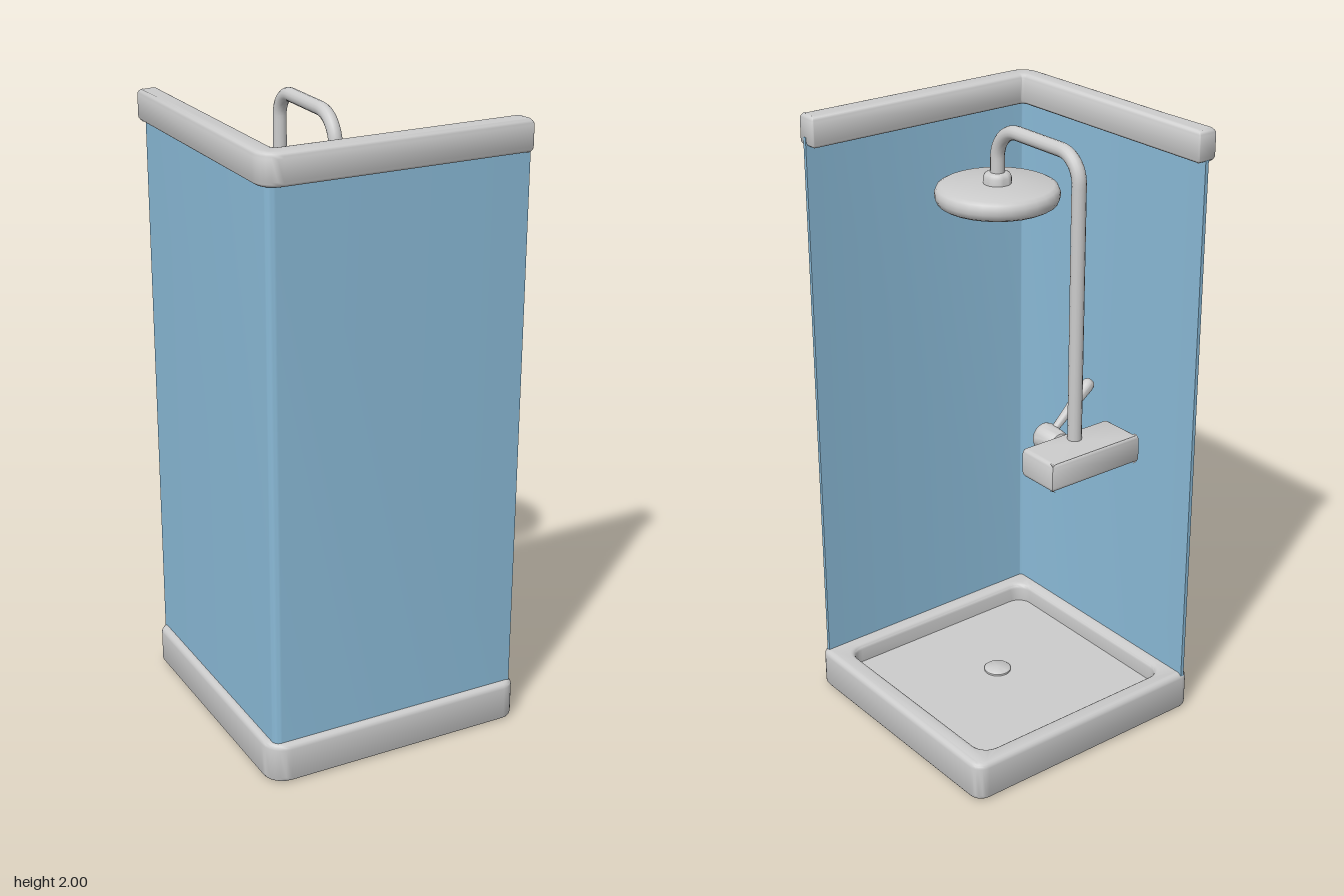
import * as THREE from 'three';
import { toCreasedNormals } from 'three/addons/utils/BufferGeometryUtils.js';

const V = (x, y, z) => new THREE.Vector3(x, y, z);

// Closed outline from [x, z, cornerRadius] points; the shape's y is -z.
function outline(points, Type = THREE.Shape) {
  const path = new Type();
  const n = points.length;
  const at = (i) => new THREE.Vector2(points[(i + n) % n][0], -points[(i + n) % n][1]);
  for (let i = 0; i < n; i++) {
    const p = at(i), r = points[i][2];
    const a = at(i - 1).sub(p).setLength(r).add(p);
    const b = at(i + 1).sub(p).setLength(r).add(p);
    if (i === 0) path.moveTo(a.x, a.y);
    else path.lineTo(a.x, a.y);
    // Bezier handles that closely follow a circular arc
    const h1 = a.clone().lerp(p, 0.55), h2 = b.clone().lerp(p, 0.55);
    if (r > 0) path.bezierCurveTo(h1.x, h1.y, h2.x, h2.y, b.x, b.y);
  }
  path.closePath();
  return path;
}

// Extrudes an outline upwards from y0 to y1 with rounded edges.
function slab(shape, y0, y1, bevel) {
  const geo = new THREE.ExtrudeGeometry(shape, {
    depth: y1 - y0 - 2 * bevel, curveSegments: 6, bevelEnabled: bevel > 0,
    bevelSize: bevel, bevelThickness: bevel, bevelOffset: -bevel, bevelSegments: 4,
  });
  geo.rotateX(-Math.PI / 2).translate(0, y0 + bevel, 0);
  return toCreasedNormals(geo, 0.7);
}

// Turned part from [radius, height] points.
const turned = (points, sides = 28) => toCreasedNormals(
  new THREE.LatheGeometry(points.map(([r, y]) => new THREE.Vector2(r, y)), sides), 0.75);

export function createModel() {
  const group = new THREE.Group();
  const enamel = new THREE.MeshStandardMaterial({ color: 0xcccccc });
  enamel.name = 'lightGrey';
  const glass = new THREE.MeshStandardMaterial({ color: 0x8abad7 });
  glass.name = 'blueGlass';

  const add = (name, geo, mat = enamel) => {
    const mesh = new THREE.Mesh(geo, mat);
    mesh.name = name;
    group.add(mesh);
    return mesh;
  };

  // Tray: raised rim, sunken floor and drain
  const e = 0.443;
  const rim = outline([[-e, e, 0.07], [e, e, 0.045], [e, -e, 0.045], [-e, -e, 0.03]]);
  rim.holes.push(outline([[-0.37, 0.362, 0.05], [-0.37, -0.38, 0.05],
    [0.375, -0.38, 0.05], [0.375, 0.362, 0.05]], THREE.Path));
  add('trayRim', slab(rim, 0, 0.135, 0.018));
  add('trayFloor', new THREE.BoxGeometry(0.81, 0.07, 0.81).translate(0, 0.035, 0));
  add('drain', turned([[0.045, 0.068], [0.045, 0.076], [0.039, 0.081], [0, 0.081]])
    .translate(-0.01, 0, 0.04));

  // Glass screen: one thin L with a rounded corner
  const go = 0.42, gi = 0.408;
  add('glassScreen', slab(outline([
    [-go, go, 0.025], [0.427, go, 0], [0.427, gi, 0],
    [-gi, gi, 0.013], [-gi, -0.441, 0], [-go, -0.441, 0],
  ]), 0.12, 1.93, 0), glass);

  // Top rail following the screen
  add('topRail', slab(outline([
    [-0.445, 0.443, 0.065], [0.425, 0.443, 0.008], [0.425, 0.37, 0.008],
    [-0.375, 0.37, 0.01], [-0.375, -0.445, 0.008], [-0.445, -0.445, 0.008],
  ]), 1.9, 2, 0.018));

  // Mixer body on the open back side
  add('mixerBody', slab(outline([
    [-0.18, -0.29, 0.018], [0.16, -0.29, 0.018],
    [0.16, -0.443, 0.002], [-0.18, -0.443, 0.002],
  ]), 0.995, 1.087, 0.016));

  // Knob, turned about z and flaring to the front
  add('mixerKnob', turned([
    [0.03, -0.02], [0.018, 0.012], [0.034, 0.018], [0.039, 0.03], [0.045, 0.085],
    [0.042, 0.098], [0.034, 0.104], [0, 0.104],
  ]).rotateX(Math.PI / 2).translate(-0.01, 1.042, -0.29));

  // Lever, thicker towards its rounded tip
  const from = V(-0.025, 1.065, -0.222), to = V(-0.175, 1.195, -0.222);
  const dir = to.clone().sub(from), len = dir.length();
  const lever = add('mixerLever', turned([
    [0, 0], [0.011, 0], [0.021, len - 0.025], [0.019, len - 0.01], [0.011, len - 0.002], [0, len],
  ], 16));
  lever.position.copy(from);
  lever.quaternion.setFromUnitVectors(V(0, 1, 0), dir.normalize());

  // Riser pipe with two bends, ending above the head
  const x = -0.01, top = 1.972;
  const pipe = new THREE.CurvePath();
  const bend = (a, corner, b) => pipe.add(new THREE.CubicBezierCurve3(
    a, a.clone().lerp(corner, 0.55), b.clone().lerp(corner, 0.55), b));
  pipe.add(new THREE.LineCurve3(V(x, 1.05, -0.34), V(x, 1.89, -0.34)));
  bend(V(x, 1.89, -0.34), V(x, top, -0.34), V(x, top, -0.26));
  pipe.add(new THREE.LineCurve3(V(x, top, -0.26), V(x, top, -0.06)));
  bend(V(x, top, -0.06), V(x, top, 0.037), V(x, 1.875, 0.037));
  pipe.add(new THREE.LineCurve3(V(x, 1.875, 0.037), V(x, 1.81, 0.037)));
  add('riserPipe', new THREE.TubeGeometry(pipe, 100, 0.022, 14));

  // Round shower head and its collar
  add('showerHead', turned([
    [0, 1.733], [0.172, 1.733], [0.184, 1.74], [0.191, 1.757], [0.191, 1.772],
    [0.185, 1.786], [0.172, 1.793], [0.04, 1.798], [0, 1.798],
  ]).translate(x, 0, 0.037));
  add('headCollar', turned([
    [0.043, 1.79], [0.043, 1.818], [0.038, 1.828], [0.03, 1.832], [0, 1.832],
  ]).translate(x, 0, 0.037));

  return group;
}
